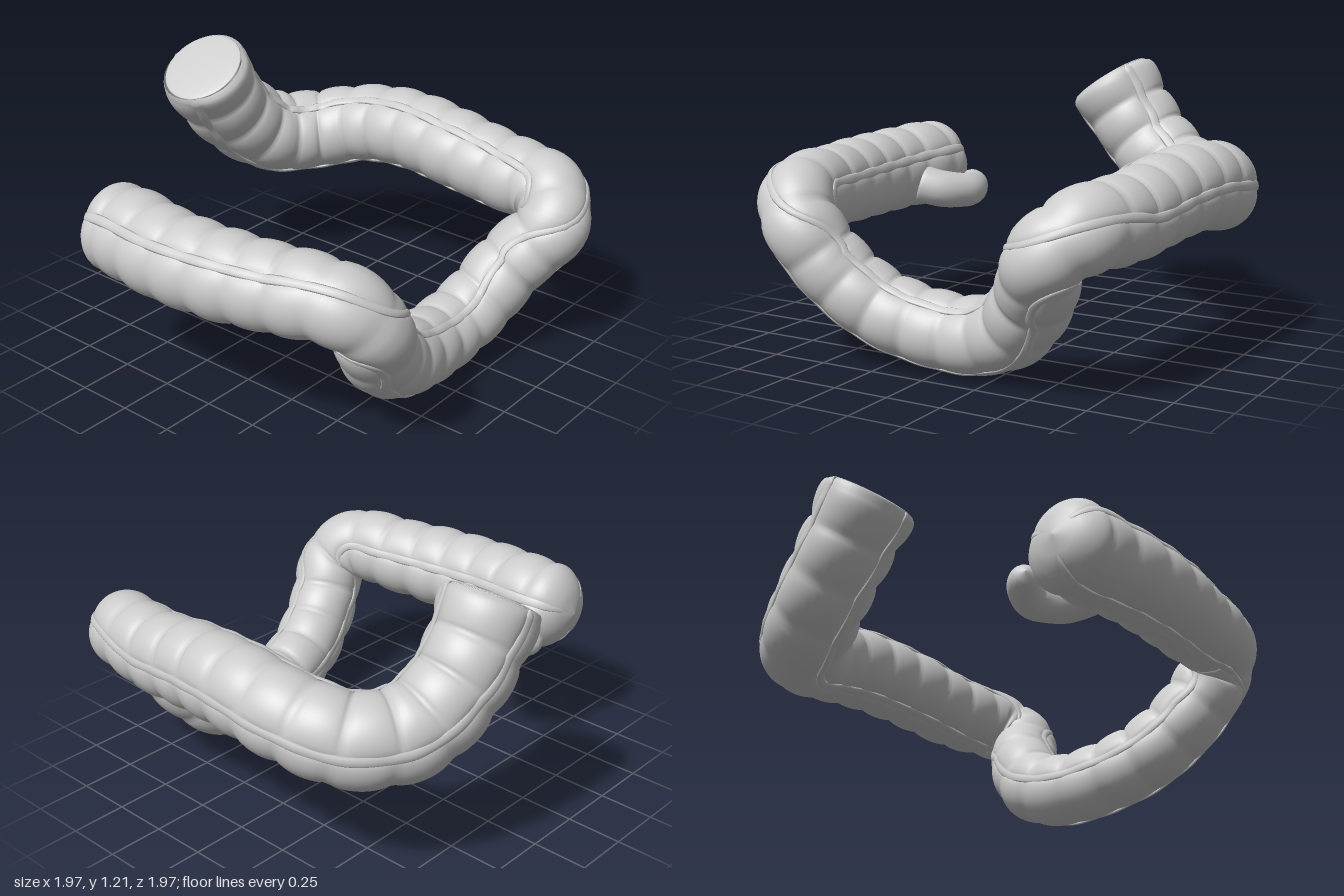
import * as THREE from 'three';

const V = (x, y, z) => new THREE.Vector3(x, y, z);
const UP = V(0, 1, 0);
const mat = new THREE.MeshStandardMaterial({ color: 0xcccccc, roughness: 0.8, side: THREE.DoubleSide });

// Centre line from the blind pouch to the cut end: x, y, z, radius
const PATH = [
  [-0.76, 0.68, -0.615, 0.20], [-0.755, 0.685, -0.42, 0.205], [-0.785, 0.68, -0.15, 0.20],
  [-0.775, 0.68, 0.12, 0.195], [-0.73, 0.685, 0.40, 0.185], [-0.685, 0.69, 0.64, 0.175],
  [-0.61, 0.60, 0.735, 0.17], [-0.48, 0.41, 0.695, 0.17], [-0.28, 0.25, 0.635, 0.17],
  [-0.05, 0.18, 0.595, 0.17], [0.15, 0.17, 0.58, 0.17], [0.34, 0.24, 0.61, 0.17],
  [0.49, 0.41, 0.69, 0.17], [0.61, 0.60, 0.815, 0.165], [0.71, 0.69, 0.73, 0.175],
  [0.755, 0.70, 0.46, 0.185], [0.775, 0.73, 0.18, 0.192], [0.80, 0.745, -0.10, 0.195],
  [0.79, 0.71, -0.38, 0.195], [0.69, 0.655, -0.59, 0.20], [0.50, 0.67, -0.72, 0.205],
  [0.315, 0.80, -0.78, 0.205], [0.19, 0.95, -0.79, 0.21], [0.085, 1.105, -0.785, 0.225],
];
const HAUSTRA = 31;

// Interpolates a list of values smoothly over 0..1
function blend(list, t) {
  const f = THREE.MathUtils.clamp(t, 0, 1) * (list.length - 1);
  const i = Math.min(Math.floor(f), list.length - 2);
  const k = f - i;
  return THREE.MathUtils.lerp(list[i], list[i + 1], k * k * (3 - 2 * k));
}

// Sweeps a closed section along a curve; section(t, k) gives [angle, radius]
function sweep(name, curve, rings, sides, section) {
  const pos = [], idx = [];
  for (let i = 0; i <= rings; i++) {
    const t = i / rings;
    const c = curve.getPointAt(t), T = curve.getTangentAt(t);
    const N = UP.clone().addScaledVector(T, -UP.dot(T)).normalize();
    const B = T.clone().cross(N);
    for (let j = 0; j < sides; j++) {
      const [a, r] = section(t, j / sides);
      const p = c.clone().addScaledVector(N, Math.cos(a) * r).addScaledVector(B, Math.sin(a) * r);
      pos.push(p.x, p.y, p.z);
      if (i === rings) continue;
      const p0 = i * sides + j, p1 = i * sides + (j + 1) % sides;
      idx.push(p0, p1, p0 + sides, p1, p1 + sides, p0 + sides);
    }
  }
  const g = new THREE.BufferGeometry();
  g.setAttribute('position', new THREE.Float32BufferAttribute(pos, 3));
  g.setIndex(idx);
  g.computeVertexNormals();
  const mesh = new THREE.Mesh(g, mat);
  mesh.name = name;
  return mesh;
}

// Quarter-round used to close an end over length w
const round = (d, w) => (d >= w ? 1 : Math.sqrt(Math.max(0, 1 - (1 - d / w) ** 2)));

export function createModel() {
  const model = new THREE.Group();
  model.name = 'largeIntestine';
  const curve = new THREE.CatmullRomCurve3(PATH.map(p => V(p[0], p[1], p[2])), false, 'centripetal');
  const length = curve.getLength();
  const radii = PATH.map(p => p[3]);

  // Radius with a domed start and a slightly rounded, cut end
  const radius = t => {
    const u = curve.getUtoTmapping(t);
    return blend(radii, u) * round(t * length, 0.15) * (0.92 + 0.08 * round((1 - t) * length, 0.04));
  };
  // The three bands twist slowly along the gut
  const twist = t => THREE.MathUtils.degToRad(blend([-65, -70, -85, -80, -35, -32, -40], t));

  // Pouched wall: bulges between the bands, pinched at regular creases
  model.add(sweep('pouchedWall', curve, HAUSTRA * 11, 54, (t, k) => {
    const lobe = Math.min(2, Math.floor(k * 3 + 1e-6));
    const across = Math.abs(Math.sin(k * 3 * Math.PI)) ** 0.5;
    const phase = t * HAUSTRA + [0, 0.14, -0.12][lobe];
    const along = Math.abs(Math.sin(phase * Math.PI)) ** 0.55;
    return [k * Math.PI * 2 + twist(t), radius(t) * (0.885 + across * (0.01 + 0.11 * along))];
  }));

  // Flat end face
  const end = curve.getPointAt(1), dir = curve.getTangentAt(1);
  const face = new THREE.Mesh(new THREE.SphereGeometry(radius(1) * 0.92, 40, 10, 0, Math.PI * 2, 0, Math.PI / 2), mat);
  face.name = 'endFace';
  face.scale.y = 0.08;
  face.position.copy(end);
  face.quaternion.setFromUnitVectors(UP, dir);
  model.add(face);

  // Three lengthwise muscle bands
  for (let b = 0; b < 3; b++) {
    model.add(sweep('muscleBand' + (b + 1), curve, 260, 8, (t, k) => {
      const a = k * Math.PI * 2;
      const w = 0.12 * round(t * length, 0.1) * round((1 - t) * length, 0.04);
      const wave = 0.012 * Math.sin(t * HAUSTRA * Math.PI * 2);
      const r = radius(t) * (0.92 + wave - 0.035 * Math.sin(a));
      return [b * Math.PI * 2 / 3 + twist(t) + w * Math.cos(a), r];
    }));
  }

  // Small curled appendage beside the pouch
  const tail = new THREE.CatmullRomCurve3([
    V(-0.66, 0.63, -0.20), V(-0.545, 0.595, -0.26), V(-0.475, 0.58, -0.38),
    V(-0.505, 0.585, -0.48), V(-0.59, 0.60, -0.57),
  ]);
  const tailLength = tail.getLength();
  model.add(sweep('appendix', tail, 36, 20, (t, k) => [
    k * Math.PI * 2,
    blend([0.09, 0.088, 0.082, 0.07, 0.055], t) * round((1 - t) * tailLength, 0.06) * round(t * tailLength, 0.04),
  ]));

  return model;
}
